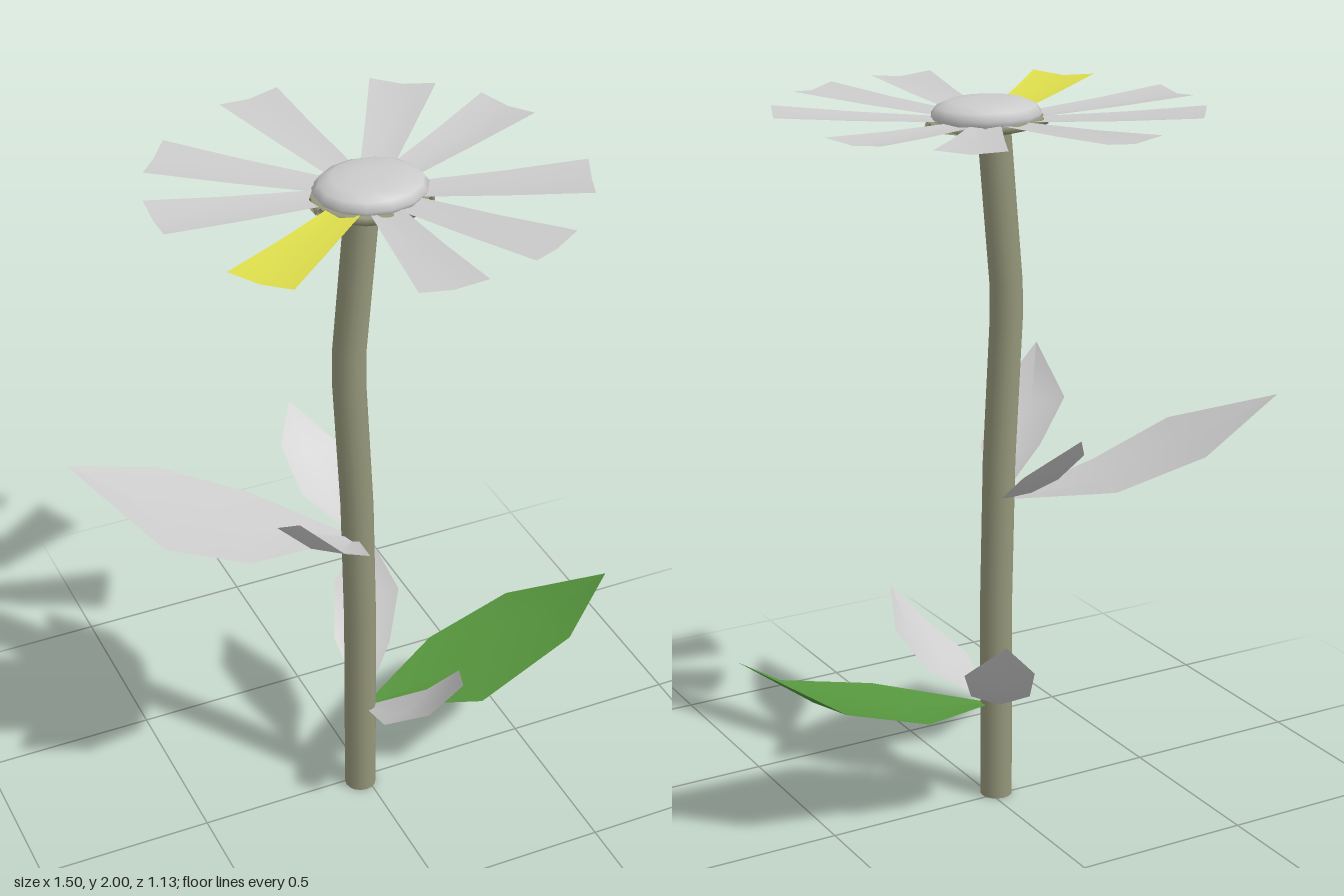
import * as THREE from 'three';

const material = (color) => new THREE.MeshStandardMaterial({ color, side: THREE.DoubleSide });
const grey = material(0xcccccc);
const green = material(0x57973e);
const yellow = material(0xdddd4c);
const olive = material(0x95967a);

// Thin smooth surface through equally long rows of points
function sheet(rows) {
  const n = rows[0].length;
  const index = [];
  for (let i = 0; i < rows.length - 1; i++) {
    for (let j = 0; j < n - 1; j++) {
      const a = i * n + j, b = a + 1, c = a + n, d = c + 1;
      index.push(a, b, d, a, d, c);
    }
  }
  const geometry = new THREE.BufferGeometry();
  geometry.setAttribute('position', new THREE.Float32BufferAttribute(rows.flat(2), 3));
  geometry.setIndex(index);
  geometry.computeVertexNormals();
  return geometry;
}

// Leaf: pointed base and tip, with two cupped cross-sections given by their side corners
function leafGeometry(base, sections, tip, cup) {
  const rows = sections.map(([p, q]) => {
    const mid = p.map((v, k) => (v + q[k]) / 2);
    mid[1] -= cup;
    return [p, mid, q];
  });
  return sheet([[base, base, base], ...rows, [tip, tip, tip]]);
}

// Petal along +x: widens and rises outwards, with a shallow crease down the middle
function petalGeometry() {
  const stations = [[0.05, 1.944, 0.028], [0.13, 1.946, 0.043], [0.35, 1.956, 0.066], [0.56, 1.97, 0.09]];
  return sheet(stations.map(([x, y, half]) => [
    [x, y + half * 0.11, -half], [x, y, 0], [x, y + half * 0.11, half],
  ].reverse()));
}

// Stem: a cylinder whose rings are moved onto a gently bent centre line
function stemGeometry() {
  const rings = [[-0.021, 0], [-0.021, 0.6], [-0.03, 1.0], [-0.052, 1.4], [-0.051, 1.5], [-0.013, 1.93]];
  const last = rings.length - 1;
  const geometry = new THREE.CylinderGeometry(0.045, 0.045, 1, 16, last);
  const pos = geometry.attributes.position;
  for (let i = 0; i < pos.count; i++) {
    const [x, y] = rings[Math.round((pos.getY(i) + 0.5) * last)];
    pos.setXYZ(i, pos.getX(i) + x, y, pos.getZ(i) + 0.015);
  }
  return geometry;
}

function lathe(profile) {
  return new THREE.LatheGeometry(profile.map(([r, y]) => new THREE.Vector2(r, y)), 14);
}

export function createModel() {
  const model = new THREE.Group();
  const add = (name, geometry, mat) => {
    const mesh = new THREE.Mesh(geometry, mat);
    mesh.name = name;
    model.add(mesh);
    return mesh;
  };

  add('stem', stemGeometry(), olive);

  // Flower base and domed centre
  const receptacle = add('receptacle', lathe([[0, -0.032], [0.05, -0.028], [0.17, 0], [0.155, 0.014], [0, 0.014]]), olive);
  receptacle.position.set(0.01, 1.934, 0.012);
  receptacle.rotation.z = -0.025;
  receptacle.scale.z = 0.87;
  const centre = add('flowerCentre', lathe([[0.14, 1.945], [0.152, 1.962], [0.137, 1.982], [0.105, 1.996], [0.05, 2], [0, 2]]), grey);
  centre.position.set(0.012, 0, 0.01);
  centre.scale.z = 0.87;

  // Petals, with one of them yellow
  const petal = petalGeometry();
  [260, 304, 335.6, 22.7, 61, 93.6, 141.4, 184, 217].forEach((angle, i) => {
    const mesh = add(`petal${i + 1}`, petal, i === 6 ? yellow : grey);
    mesh.position.x = 0.01;
    mesh.rotation.y = -THREE.MathUtils.degToRad(angle);
  });

  // Lower whorl of leaves
  const low = [-0.01, 0.28, 0.015];
  add('lowerLeafSide', leafGeometry(low, [
    [[0.27, 0.335, -0.13], [0.28, 0.335, 0.195]],
    [[0.52, 0.42, -0.13], [0.585, 0.43, 0.145]],
  ], [0.745, 0.55, 0.055], 0.015), green);
  add('lowerLeafFront', leafGeometry(low, [
    [[0.14, 0.37, 0.12], [-0.03, 0.36, 0.2]],
    [[0.2, 0.48, 0.2], [0.055, 0.45, 0.31]],
  ], [0.14, 0.555, 0.345], 0.025), grey);
  add('lowerLeafBack', leafGeometry(low, [
    [[-0.01, 0.38, -0.19], [0.13, 0.38, -0.11]],
    [[0.04, 0.5, -0.3], [0.2, 0.49, -0.2]],
  ], [0.16, 0.62, -0.355], 0.025), grey);

  // Upper whorl of leaves
  const high = [-0.03, 0.887, 0.01];
  add('upperLeafSide', leafGeometry(high, [
    [[-0.36, 0.935, 0.06], [-0.25, 0.945, -0.24]],
    [[-0.59, 1.03, 0.03], [-0.475, 1.035, -0.33]],
  ], [-0.75, 1.155, -0.27], 0.015), grey);
  add('upperLeafFront', leafGeometry(high, [
    [[-0.08, 0.975, 0.21], [-0.2, 1.0, 0.08]],
    [[-0.2, 1.09, 0.315], [-0.32, 1.1, 0.15]],
  ], [-0.325, 1.22, 0.315], 0.025), grey);
  add('upperLeafBack', leafGeometry(high, [
    [[-0.13, 0.97, -0.13], [0.03, 0.95, -0.12]],
    [[-0.145, 1.07, -0.24], [0.03, 1.03, -0.22]],
  ], [-0.08, 1.145, -0.33], 0.015), grey);

  return model;
}
